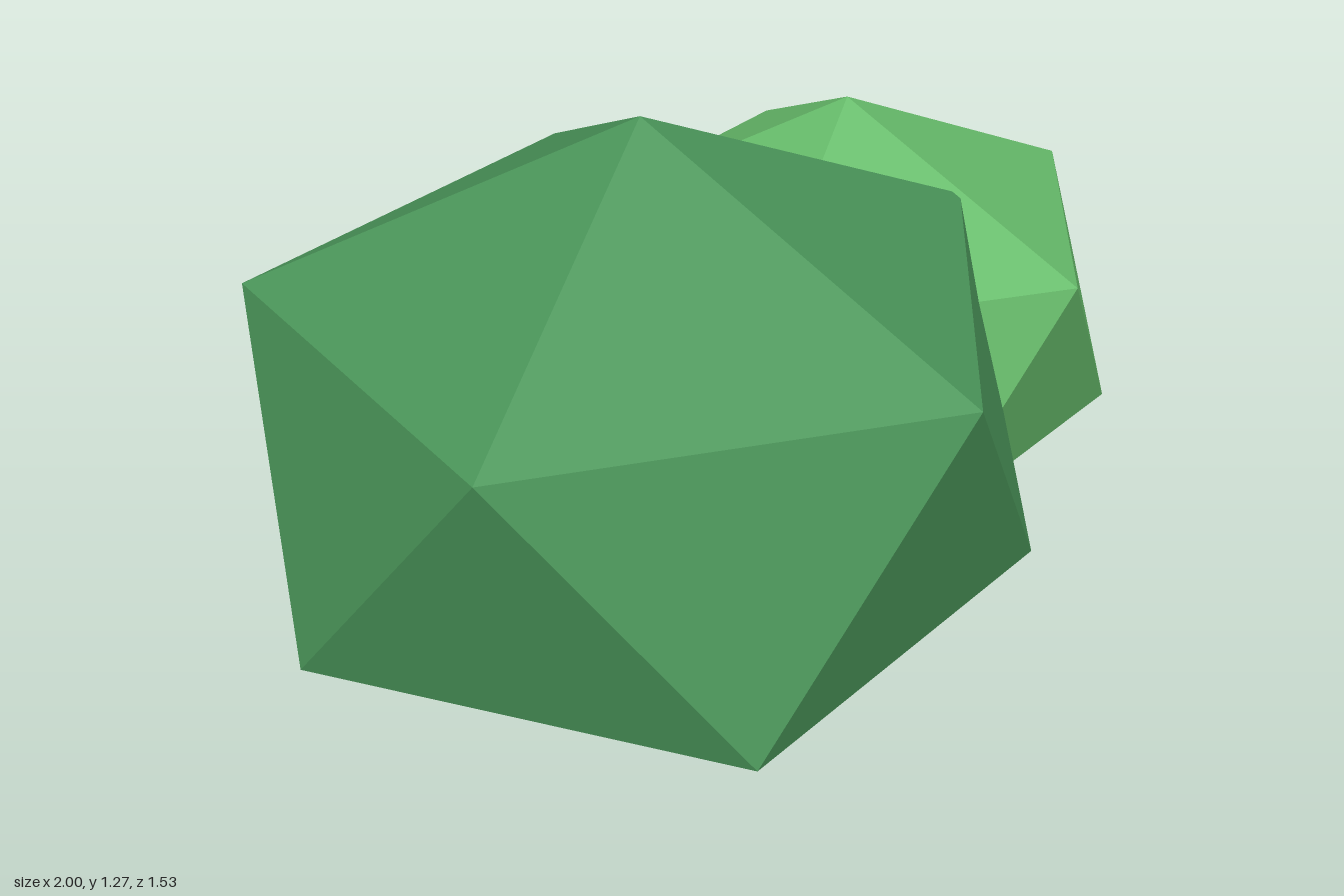
import * as THREE from 'three';

const PHI = (1 + Math.sqrt(5)) / 2;

// Squashed icosahedron standing on one corner, with an upper-ring corner toward +x
function foliage(name, radius, position, material) {
  const geometry = new THREE.IcosahedronGeometry(radius, 0);
  geometry.rotateZ(-Math.atan(1 / PHI));
  geometry.scale(1, 0.75, 1);
  const mesh = new THREE.Mesh(geometry, material);
  mesh.name = name;
  mesh.position.set(...position);
  return mesh;
}

function flatMaterial(name, color) {
  const material = new THREE.MeshStandardMaterial({ color, flatShading: true });
  material.name = name;
  return material;
}

export function createModel() {
  const group = new THREE.Group();
  group.name = 'bush';
  const darkGreen = flatMaterial('darkGreen', 0x4a9559);
  const lightGreen = flatMaterial('lightGreen', 0x66bb6a);

  // Large clump and the smaller one growing into its back left side
  group.add(
    foliage('largeFoliage', 0.85, [-0.24, 0.64, 0.04], darkGreen),
    foliage('smallFoliage', 0.638, [0.428, 0.588, -0.225], lightGreen)
  );
  return group;
}
